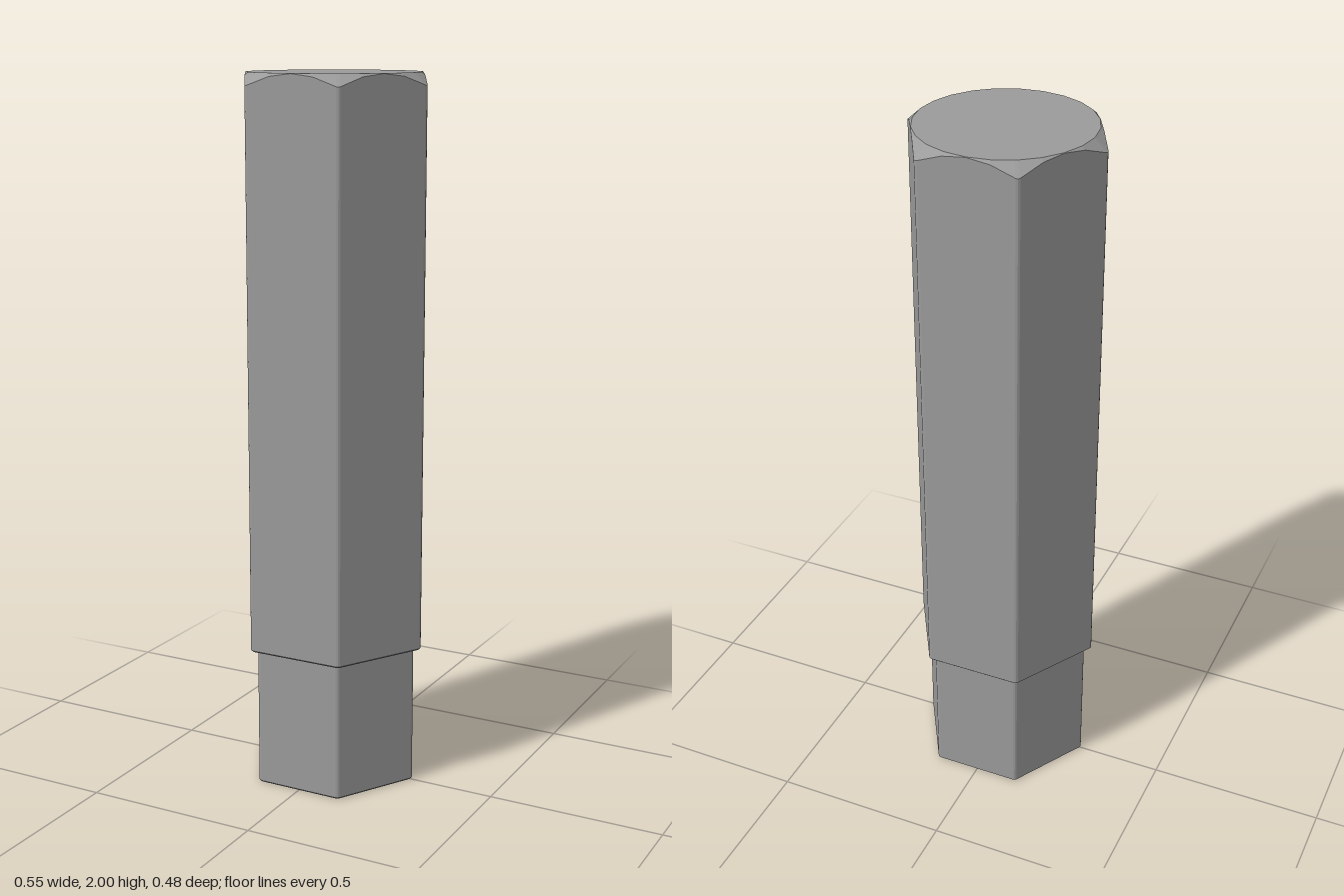
import * as THREE from 'three';

const CHAMFER_RADIUS = 0.239;
const CORNER_RADIUS = 0.012;
const SECTOR = Math.PI / 3;

// Angles round the axis: three at each softened corner, three along each side
const ANGLES = [];
for (let i = 0; i < 6; i++) {
  for (const offset of [-0.022, 0, 0.022, SECTOR / 4, SECTOR / 2, SECTOR * 0.75]) {
    ANGLES.push(i * SECTOR + offset);
  }
}

// Distance from the axis to a hexagon with rounded corners on the x axis
function hexRadius(apothem, angle) {
  const local = angle - Math.floor(angle / SECTOR + 1e-6) * SECTOR - SECTOR / 2;
  const cornerLimit = apothem * 1.1547 - CORNER_RADIUS * 0.1547;
  return Math.min(apothem / Math.cos(local), cornerLimit);
}

// A closed loop of points; heightAt may vary with radius
function ring(radiusAt, heightAt) {
  return ANGLES.map((a) => {
    const r = radiusAt(a);
    return [r * Math.cos(a), heightAt(r), -r * Math.sin(a)];
  });
}

const hexRing = (apothem, heightAt) => ring((a) => hexRadius(apothem, a), heightAt);

// Joins loops from bottom to top and caps both ends
function loft(name, rings, material) {
  const points = [];
  const first = rings[0];
  const last = rings[rings.length - 1];
  const bottom = [0, first[0][1], 0];
  const top = [0, last[0][1], 0];
  for (let i = 0; i < ANGLES.length; i++) {
    const j = (i + 1) % ANGLES.length;
    for (let k = 0; k < rings.length - 1; k++) {
      const lo = rings[k], hi = rings[k + 1];
      points.push(lo[i], lo[j], hi[j], lo[i], hi[j], hi[i]);
    }
    points.push(bottom, first[j], first[i], top, last[i], last[j]);
  }
  const geometry = new THREE.BufferGeometry();
  geometry.setAttribute('position', new THREE.Float32BufferAttribute(points.flat(), 3));
  geometry.computeVertexNormals();
  const mesh = new THREE.Mesh(geometry, material);
  mesh.name = name;
  return mesh;
}

export function createModel() {
  const model = new THREE.Group();
  model.name = 'hexBit';
  const material = new THREE.MeshStandardMaterial({ color: 0x9b9b9b, flatShading: true });

  // Narrow hexagonal tip with a fine bevel at its foot
  model.add(loft('tip', [
    hexRing(0.215, () => 0),
    hexRing(0.22, () => 0.005),
    hexRing(0.22, () => 0.402),
  ], material));

  // Wide hexagonal shank, its top corners cut by a cone
  model.add(loft('shank', [
    hexRing(0.235, () => 0.4),
    hexRing(0.24, () => 0.405),
    hexRing(0.24, (r) => 2 - (r - CHAMFER_RADIUS) * 0.92),
    ring(() => CHAMFER_RADIUS, () => 2),
  ], material));

  return model;
}
